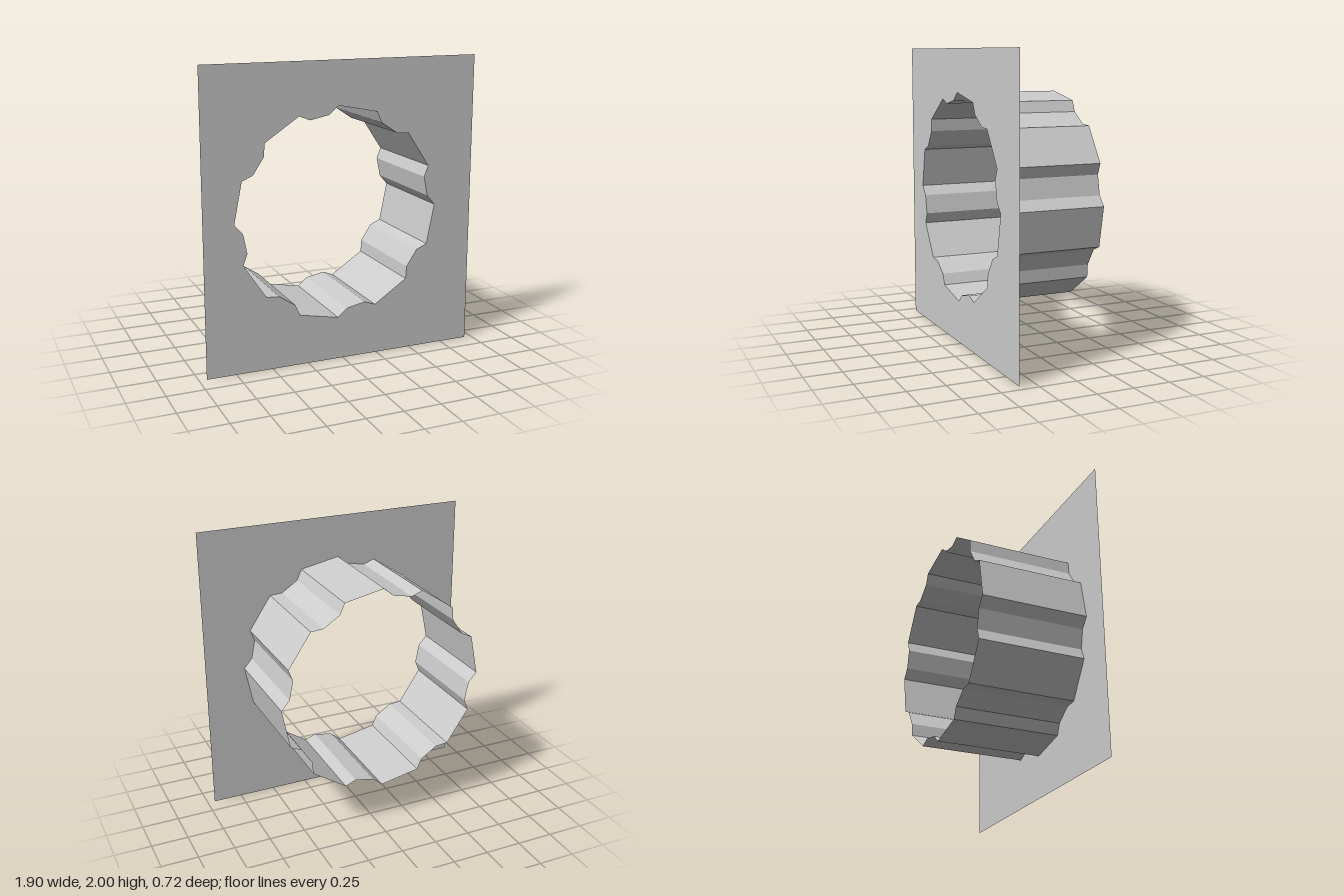
import * as THREE from 'three';

const CX = -0.035, CY = 1, HALF_DEPTH = 0.36;

// Ring outline: eight lobes, each a flat crest followed by a shallow notch
function ringOutline() {
  const lobe = [[0.71, 0], [0.71, 22.5], [0.657, 27.6], [0.657, 39.3]];
  const points = [];
  for (let i = 0; i < 8; i++) {
    for (const [r, deg] of lobe) {
      const a = THREE.MathUtils.degToRad(i * 45 + deg);
      points.push(new THREE.Vector2(CX + r * Math.sin(a), CY + r * Math.cos(a)));
    }
  }
  return points;
}

// Open wall swept straight back along z
function wallGeometry(outline) {
  const pos = [];
  outline.forEach((p, i) => {
    const q = outline[(i + 1) % outline.length];
    const f = HALF_DEPTH, b = -HALF_DEPTH;
    pos.push(p.x, p.y, f, q.x, q.y, b, q.x, q.y, f);
    pos.push(p.x, p.y, f, p.x, p.y, b, q.x, q.y, b);
  });
  const g = new THREE.BufferGeometry();
  g.setAttribute('position', new THREE.Float32BufferAttribute(pos, 3));
  g.computeVertexNormals();
  return g;
}

export function createModel() {
  const group = new THREE.Group();
  const material = new THREE.MeshStandardMaterial({
    color: 0xcccccc, side: THREE.DoubleSide, flatShading: true,
  });
  const outline = ringOutline();

  // Thin front plate with the ring opening cut through it
  const shape = new THREE.Shape([
    new THREE.Vector2(-0.95, 0), new THREE.Vector2(0.95, 0),
    new THREE.Vector2(0.95, 2), new THREE.Vector2(-0.95, 2),
  ]);
  shape.holes.push(new THREE.Path(outline));
  const plate = new THREE.Mesh(new THREE.ShapeGeometry(shape), material);
  plate.name = 'frontPlate';
  plate.position.z = HALF_DEPTH;
  group.add(plate);

  // Notched sleeve behind the plate, open at both ends
  const sleeve = new THREE.Mesh(wallGeometry(outline), material);
  sleeve.name = 'notchedSleeve';
  group.add(sleeve);

  return group;
}
